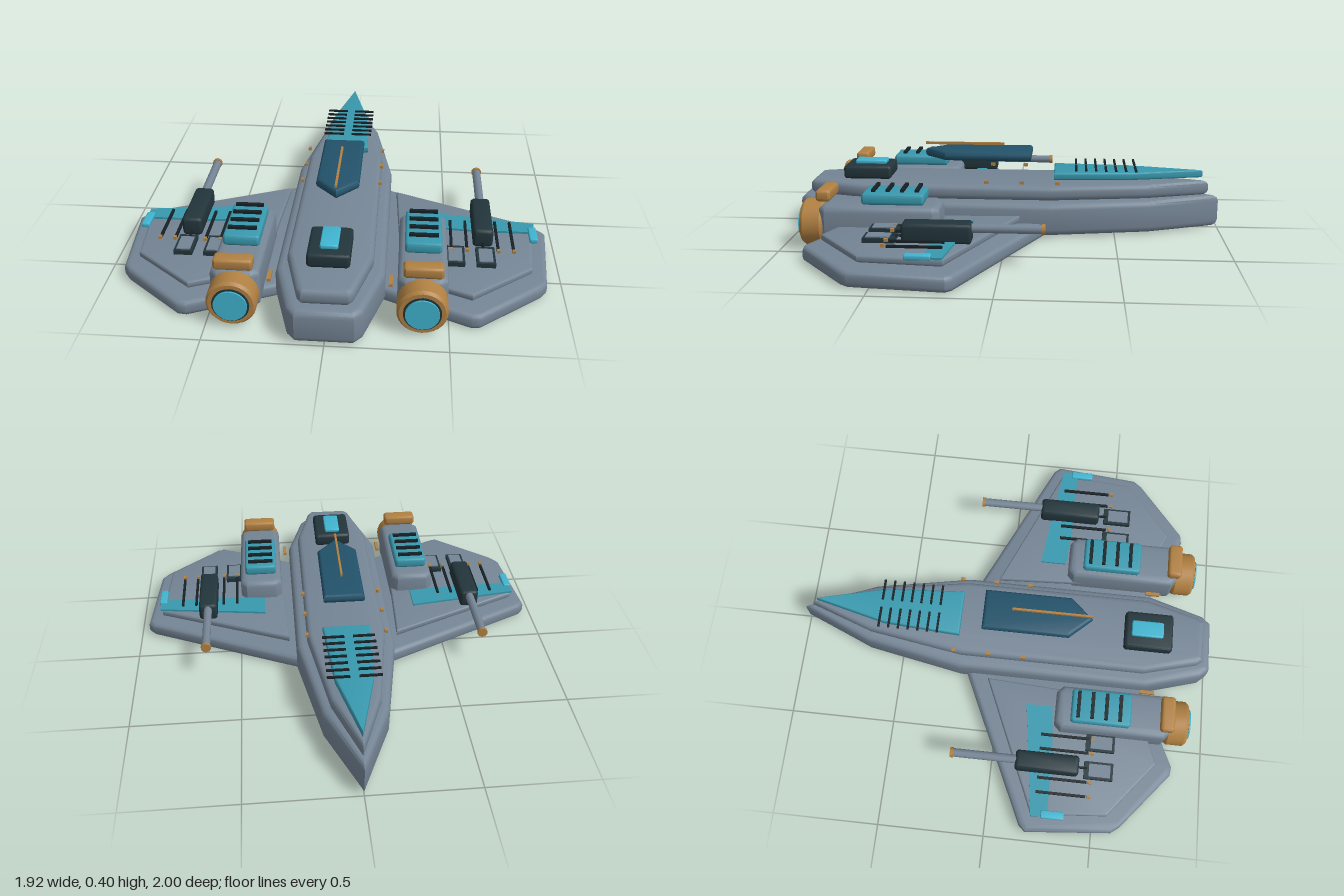
import * as THREE from 'three';
import { toCreasedNormals } from 'three/addons/utils/BufferGeometryUtils.js';

const paint = (name, color) => {
  const m = new THREE.MeshStandardMaterial({ color });
  m.name = name;
  return m;
};

export function createModel() {
  const hull = paint('hull grey', 0x758595);
  const teal = paint('panel teal', 0x3899ae);
  const glow = paint('glow cyan', 0x40b4d0);
  const gold = paint('trim gold', 0xb08042);
  const dark = paint('gunmetal', 0x22353b);
  const navy = paint('canopy navy', 0x22526a);
  const black = paint('slit black', 0x162024);

  const model = new THREE.Group();
  model.name = 'starfighter';

  const add = (parent, name, geometry, material, x = 0, y = 0, z = 0) => {
    const mesh = new THREE.Mesh(geometry, material);
    mesh.name = name;
    mesh.position.set(x, y, z);
    parent.add(mesh);
    return mesh;
  };

  // Bevelled plate with an [x, z] outline, from height y0 to y1
  const slab = (parent, name, outline, y0, y1, bevel, material) => {
    const shape = new THREE.Shape(outline.map(([x, z]) => new THREE.Vector2(x, -z)));
    const geo = new THREE.ExtrudeGeometry(shape, {
      depth: y1 - y0 - 2 * bevel, bevelEnabled: bevel > 0, bevelThickness: bevel,
      bevelSize: bevel, bevelOffset: -bevel, bevelSegments: 3, steps: 1,
    });
    geo.translate(0, 0, y0 + bevel).rotateX(-Math.PI / 2);
    return add(parent, name, toCreasedNormals(geo, 0.6), material);
  };

  // Plate with chamfered corners in plan
  const block = (parent, name, x0, x1, y0, y1, z0, z1, bevel, material, c = 0.01) =>
    slab(parent, name, [
      [x0 + c, z0], [x1 - c, z0], [x1, z0 + c], [x1, z1 - c],
      [x1 - c, z1], [x0 + c, z1], [x0, z1 - c], [x0, z0 + c],
    ], y0, y1, bevel, material);

  const box = (parent, name, w, h, d, x, y, z, material) =>
    add(parent, name, new THREE.BoxGeometry(w, h, d), material, x, y, z);

  // Cylinder along z
  const rod = (parent, name, r, z0, z1, sides, x, y, material) =>
    add(parent, name, new THREE.CylinderGeometry(r, r, z1 - z0, sides).rotateX(Math.PI / 2),
      material, x, y, (z0 + z1) / 2);

  // Half outline from nose to tail, reflected across x = 0
  const symmetric = (half) => [
    ...half, ...half.filter(([x]) => x > 0).reverse().map(([x, z]) => [-x, z]),
  ];

  // Fuselage
  slab(model, 'lowerHull', symmetric([
    [0, -1], [0.145, -0.66], [0.232, -0.2], [0.232, 0.7], [0.155, 0.96], [0.12, 1],
  ]), 0.01, 0.165, 0.03, hull);
  slab(model, 'upperHull', symmetric([
    [0, -0.95], [0.11, -0.65], [0.182, -0.2], [0.182, 0.68], [0.115, 0.93], [0.095, 0.955],
  ]), 0.165, 0.235, 0.025, hull);

  // Nose panel with cooling slits
  slab(model, 'nosePanel', symmetric([[0, -0.92], [0.085, -0.58], [0.11, -0.212]]),
    0.25, 0.285, 0.008, teal);
  for (let i = 0; i < 7; i++)
    for (const s of [1, -1])
      box(model, 'noseSlit', 0.1, 0.008, 0.01, s * 0.07, 0.302, -0.596 + i * 0.0465, black);

  // Canopy and its ridge
  slab(model, 'canopy', symmetric([[0.097, -0.105], [0.097, 0.305], [0, 0.41]]),
    0.333, 0.378, 0.018, navy);
  box(model, 'canopyRidge', 0.01, 0.012, 0.38, 0, 0.4, 0.22, gold);

  // Rear deck hatch
  block(model, 'rearHatch', -0.09, 0.09, 0.235, 0.3, 0.57, 0.797, 0.015, dark);
  block(model, 'hatchLight', -0.038, 0.038, 0.297, 0.318, 0.6, 0.75, 0.006, glow, 0.006);

  for (const s of [1, -1]) {
    const side = new THREE.Group();
    side.name = s > 0 ? 'leftSide' : 'rightSide';
    model.add(side);
    const mir = (pts) => pts.map(([x, z]) => [s * x, z]);

    // Wing and raised upper plate
    slab(side, 'wing', mir([
      [0.14, -0.21], [0.2, -0.18], [0.935, 0.16], [0.962, 0.19], [0.925, 0.59], [0.895, 0.63],
      [0.63, 0.85], [0.59, 0.855], [0.14, 0.65],
    ]), 0.003, 0.072, 0.022, hull);
    slab(side, 'wingPlate', mir([
      [0.262, -0.06], [0.89, 0.21], [0.86, 0.56], [0.595, 0.775], [0.3, 0.65],
    ]), 0.088, 0.12, 0.01, hull);

    // Wing stripe and tip light
    slab(side, 'wingStripe', mir([
      [0.375, 0.14], [0.9, 0.21], [0.895, 0.285], [0.6, 0.285], [0.375, 0.265],
    ]), 0.12, 0.13, 0, teal);
    block(side, 'tipLight', s * 0.886 - 0.018, s * 0.886 + 0.018, 0.118, 0.14, 0.255, 0.362,
      0.005, glow, 0.004);

    // Wing vents with gold ends
    for (const x of [0.515, 0.583, 0.72, 0.787]) {
      box(side, 'wingVent', 0.012, 0.01, 0.23, s * x, 0.136, 0.338, black);
      box(side, 'ventCap', 0.014, 0.014, 0.016, s * x, 0.14, 0.468, gold);
    }

    // Wing hatches
    for (const x of [0.53, 0.662]) {
      box(side, 'wingHatch', 0.082, 0.02, 0.135, s * x, 0.13, 0.505, dark);
      box(side, 'wingHatchLid', 0.06, 0.006, 0.1, s * x, 0.142, 0.51, hull);
    }

    // Cannon
    const cx = s * 0.655;
    block(side, 'cannonBody', cx - 0.044, cx + 0.044, 0.115, 0.205, 0.115, 0.41, 0.018, dark);
    rod(side, 'cannonBarrel', 0.02, -0.18, 0.13, 10, cx, 0.178, hull);
    rod(side, 'muzzle', 0.024, -0.19, -0.175, 10, cx, 0.178, gold);
    rod(side, 'cannonRod', 0.006, 0.4, 0.45, 6, cx, 0.14, black);

    // Engine pod
    const ex = s * 0.388;
    block(side, 'enginePod', ex - 0.104, ex + 0.104, 0.03, 0.212, 0.28, 0.82, 0.03, hull, 0.03);
    block(side, 'podCover', ex - 0.079, ex + 0.079, 0.213, 0.265, 0.35, 0.628, 0.014, teal);
    for (let i = 0; i < 4; i++)
      box(side, 'podSlit', 0.125, 0.012, 0.016, ex, 0.277, 0.382 + i * 0.0645, black);
    block(side, 'podCap', ex - 0.082, ex + 0.082, 0.225, 0.278, 0.765, 0.83, 0.014, gold);

    // Engine nozzle, nested discs
    const drum = new THREE.LatheGeometry([
      [0, 0.8], [0.093, 0.8], [0.105, 0.815], [0.105, 0.892], [0.095, 0.905], [0, 0.905],
    ].map(([r, z]) => new THREE.Vector2(r, z)), 28).rotateX(Math.PI / 2);
    add(side, 'nozzle', toCreasedNormals(drum, 0.6), gold, ex, 0.113, 0);
    rod(side, 'nozzleRing', 0.078, 0.9, 0.909, 28, ex, 0.113, dark);
    rod(side, 'nozzleGlow', 0.07, 0.908, 0.917, 28, ex, 0.113, glow);

    // Hull trim
    box(side, 'rootBar', 0.016, 0.014, 0.07, s * 0.256, 0.128, 0.71, gold);
    for (const z of [-0.23, -0.065, 0.1])
      box(side, 'hullStud', 0.014, 0.014, 0.02, s * 0.184, 0.255, z, gold);
  }
  return model;
}
